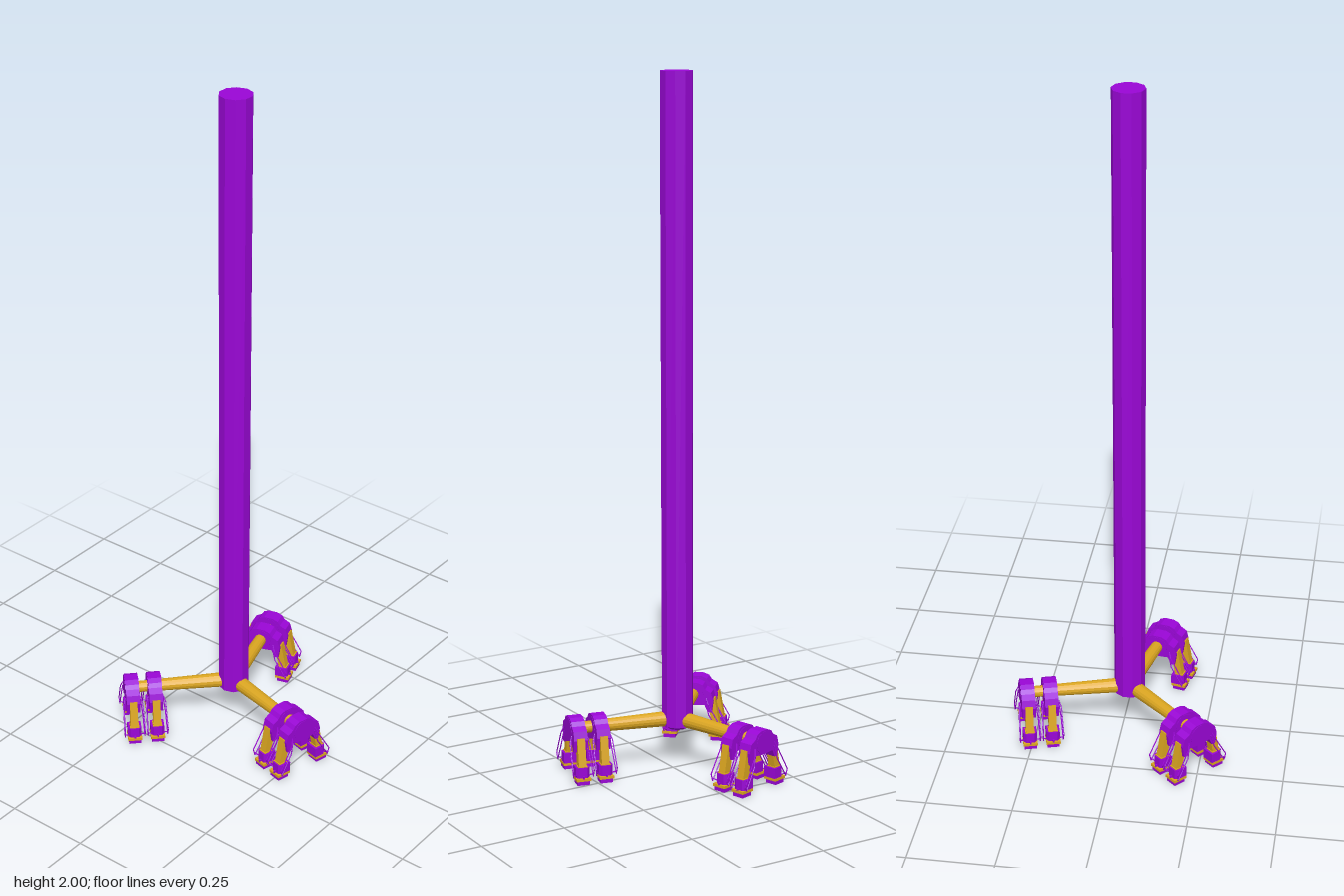
import * as THREE from 'three';

const purple = new THREE.MeshStandardMaterial({ color: 0x9a06d6, flatShading: true });
purple.name = 'violet';
const gold = new THREE.MeshStandardMaterial({ color: 0xdaa520, flatShading: true });
gold.name = 'gold';

function add(parent, name, geometry, material, x = 0, y = 0, z = 0) {
  const mesh = new THREE.Mesh(geometry, material);
  mesh.name = name;
  mesh.position.set(x, y, z);
  parent.add(mesh);
  return mesh;
}

// Straight round or square bar between two points
function bar(parent, name, a, b, r0, r1, sides, material, twist = 0) {
  const from = new THREE.Vector3(...a), to = new THREE.Vector3(...b);
  const dir = to.clone().sub(from);
  const geo = new THREE.CylinderGeometry(r1, r0, dir.length(), sides);
  geo.rotateY(twist);
  const mesh = add(parent, name, geo, material);
  mesh.position.copy(from).addScaledVector(dir, 0.5);
  mesh.quaternion.setFromUnitVectors(new THREE.Vector3(0, 1, 0), dir.normalize());
  return mesh;
}

// Arched saddle profile: half outline mirrored, extruded along the arm
function saddleGeometry() {
  const half = [[0.014, 0.179], [0.03, 0.172], [0.038, 0.16], [0.056, 0.15],
    [0.063, 0.125], [0.058, 0.09], [0.046, 0.09], [0.036, 0.112], [0.016, 0.11]];
  const pts = [...half, ...half.map(([x, y]) => [-x, y]).reverse()];
  const shape = new THREE.Shape(pts.map(([x, y]) => new THREE.Vector2(x, y)));
  const geo = new THREE.ExtrudeGeometry(shape, { depth: 0.04, bevelEnabled: false });
  geo.translate(0, 0, -0.02);
  geo.rotateY(Math.PI / 2);
  return geo;
}

// Hollow chamfered boot collar, standing up from y = 0
function collarGeometry() {
  const s = new THREE.Shape();
  [[-0.02, -0.02], [0.02, -0.02], [0.02, 0.01], [0.012, 0.019], [-0.012, 0.019], [-0.02, 0.01]]
    .forEach(([x, y], i) => (i ? s.lineTo(x, y) : s.moveTo(x, y)));
  s.closePath();
  const hole = new THREE.Path();
  hole.moveTo(-0.014, -0.014).lineTo(-0.014, 0.014).lineTo(0.014, 0.014).lineTo(0.014, -0.014).closePath();
  s.holes.push(hole);
  const geo = new THREE.ExtrudeGeometry(s, { depth: 0.03, bevelEnabled: false });
  geo.rotateX(-Math.PI / 2);
  geo.rotateY(Math.PI);
  return geo;
}

// One leg on the +z side of a foot unit
function createLeg() {
  const leg = new THREE.Group();
  leg.name = 'leg';
  add(leg, 'solePad', new THREE.BoxGeometry(0.036, 0.012, 0.036), purple, 0, 0.008, 0.072);
  add(leg, 'footPlate', new THREE.BoxGeometry(0.042, 0.008, 0.044), gold, 0, 0.018, 0.071);
  add(leg, 'toeRib', new THREE.BoxGeometry(0.005, 0.008, 0.008), purple, 0, 0.024, 0.089);
  add(leg, 'bootCollar', collarGeometry(), purple, 0, 0.022, 0.068);
  add(leg, 'bootCore', new THREE.BoxGeometry(0.028, 0.034, 0.028), gold, 0, 0.037, 0.069);
  bar(leg, 'piston', [0, 0.04, 0.071], [0, 0.13, 0.054], 0.016, 0.016, 4, gold, Math.PI / 4);
  // Wire braces on both flanks
  for (const s of [-1, 1]) {
    const path = [[0.022, 0.135, 0.042], [0.029, 0.115, 0.05], [0.031, 0.045, 0.09],
      [0.029, 0.025, 0.086], [0.027, 0.085, 0.05], [0.022, 0.125, 0.04]];
    for (let i = 0; i < path.length - 1; i++) {
      const [a, b] = [path[i], path[i + 1]].map(([x, y, z]) => [x * s, y, z]);
      bar(leg, 'brace', a, b, 0.0017, 0.0017, 5, purple);
    }
    bar(leg, 'braceFoot', [s * 0.018, 0.028, 0.08], [s * 0.031, 0.034, 0.088], 0.002, 0.002, 5, purple);
  }
  return leg;
}

function createFootUnit() {
  const unit = new THREE.Group();
  unit.name = 'footUnit';
  add(unit, 'saddle', saddleGeometry(), purple);
  const hub = add(unit, 'hub', new THREE.CylinderGeometry(0.033, 0.033, 0.042, 14), purple, 0, 0.143, 0);
  hub.rotation.z = Math.PI / 2;
  for (const turn of [0, Math.PI]) {
    const leg = createLeg();
    leg.rotation.y = turn;
    unit.add(leg);
  }
  return unit;
}

export function createModel() {
  const model = new THREE.Group();
  model.name = 'landingStrut';

  // Main post, leaning very slightly
  const base = [-0.027, 0.125, 0.02];
  bar(model, 'post', base, [-0.019, 2, 0.013], 0.046, 0.047, 10, purple);
  bar(model, 'postTip', [-0.027, 0.115, 0.02], [-0.027, 0.126, 0.02], 0.03, 0.046, 10, purple);

  // Three arms, each with two foot units
  for (let i = 0; i < 3; i++) {
    const arm = new THREE.Group();
    arm.name = 'armAssembly';
    arm.position.set(base[0], 0, base[2]);
    arm.rotation.y = -THREE.MathUtils.degToRad(13.8 + 120 * i);
    bar(arm, 'arm', [0, 0.143, 0], [0.318, 0.143, 0], 0.0225, 0.016, 16, gold);
    for (const d of [0.24, 0.308]) {
      const unit = createFootUnit();
      unit.position.x = d;
      arm.add(unit);
    }
    model.add(arm);
  }
  return model;
}
